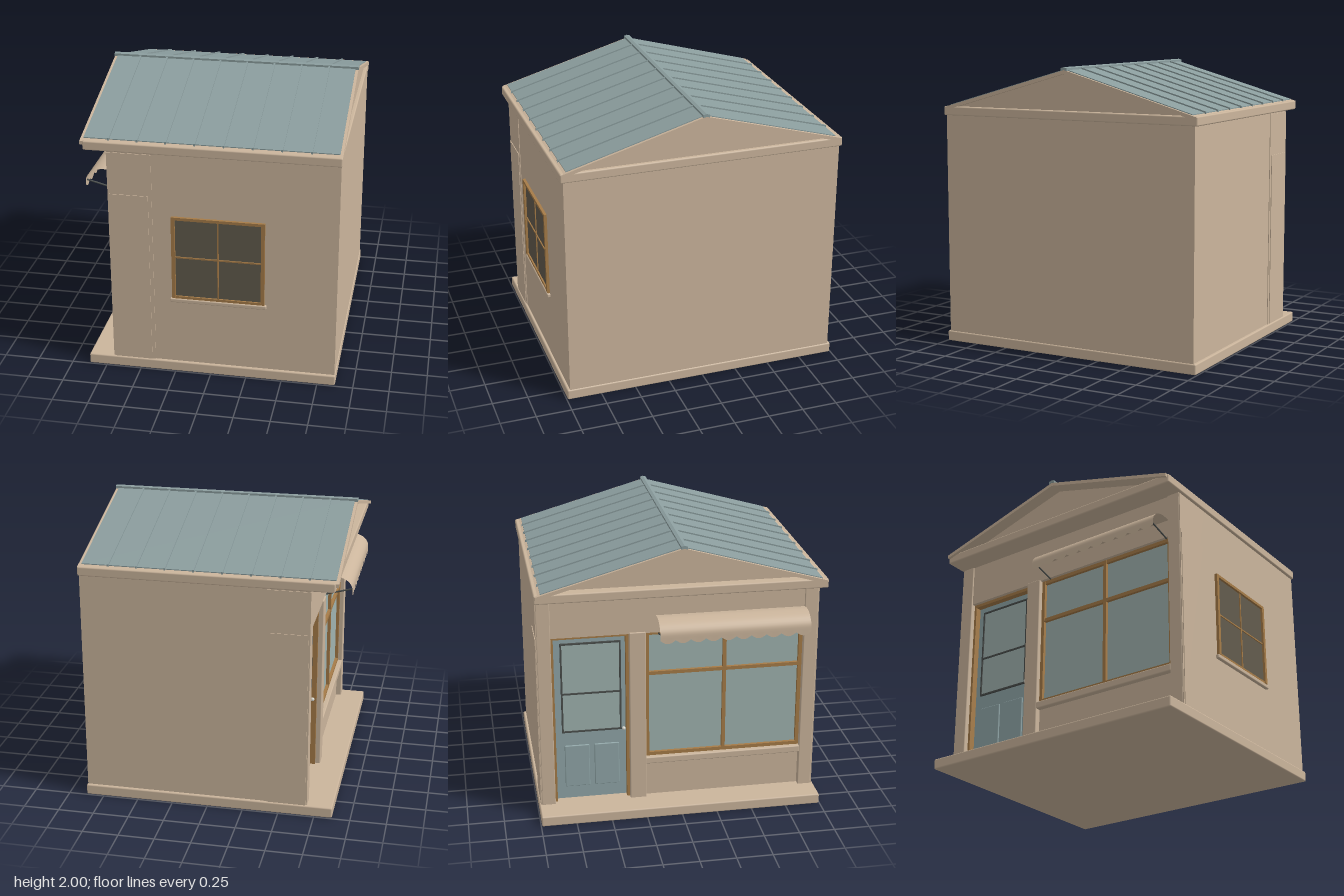
import * as THREE from 'three';
import { RoundedBoxGeometry } from 'three/addons/geometries/RoundedBoxGeometry.js';

const mat = (name, color, side = THREE.FrontSide) => {
  const m = new THREE.MeshStandardMaterial({ color, side });
  m.name = name;
  return m;
};

export function createModel() {
  const model = new THREE.Group();
  model.name = 'shop';
  const plaster = mat('plaster', 0xcbb59c);
  const canvas = mat('canvas', 0xcbb59c, THREE.DoubleSide);
  const roofMetal = mat('roofMetal', 0x8b9d9e);
  const wood = mat('wood', 0xa67c48);
  const darkGlass = mat('darkGlass', 0x625b4d);
  const shopGlass = mat('shopGlass', 0xa0b3b0);
  const doorPaint = mat('doorPaint', 0x91a7a9);
  const iron = mat('iron', 0x4b4f4d);
  const metal = mat('paleMetal', 0xd8d8d0);

  const add = (name, geo, material) => {
    const mesh = new THREE.Mesh(geo, material);
    mesh.name = name;
    model.add(mesh);
    return mesh;
  };
  // Box given by its limits; bevel > 0 softens the edges
  const box = (name, m, x0, x1, y0, y1, z0, z1, bevel = 0) => {
    const s = [x1 - x0, y1 - y0, z1 - z0];
    const geo = bevel ? new RoundedBoxGeometry(...s, 1, bevel) : new THREE.BoxGeometry(...s);
    return add(name, geo.translate((x0 + x1) / 2, (y0 + y1) / 2, (z0 + z1) / 2), m);
  };
  // Outline in the z-y plane pushed along x
  const prism = (name, m, pts, x0, x1) => {
    const shape = new THREE.Shape(pts.map(([z, y]) => new THREE.Vector2(-z, y)));
    const geo = new THREE.ExtrudeGeometry(shape, { depth: x1 - x0, bevelEnabled: false });
    return add(name, geo.rotateY(Math.PI / 2).translate(x0, 0, 0), m);
  };
  // Folded sheet following both roof slopes
  const fold = (name, m, w, lift, t, x0, x1) => {
    const top = 1.98 + lift, edge = top - 0.284 * w;
    return prism(name, m, [[-w, edge], [-w, edge - t], [0, top - t], [w, edge - t], [w, edge], [0, top]], x0, x1);
  };

  // Base and main walls
  box('base', plaster, -0.875, 0.875, 0, 0.075, -0.995, 0.995, 0.01);
  box('walls', plaster, -0.6, 0.868, 0.07, 1.65, -0.975, 0.975);
  box('lintel', plaster, -0.69, -0.59, 1.33, 1.65, -0.96, 0.96);

  // Side returns and panels, mirrored front and back
  for (const s of [1, -1]) {
    const zs = (a, b) => (s > 0 ? [a, b] : [-b, -a]);
    box('cornerPost', plaster, -0.7, -0.59, 0.07, 1.65, ...zs(0.88, 0.975), 0.006);
    box('sideReturn', plaster, -0.698, -0.395, 0.07, 1.63, ...zs(0.97, 0.98));
    box('sidePanel', plaster, -0.688, -0.42, 0.07, 1.33, ...zs(0.975, 0.985));
  }
  box('middlePost', plaster, -0.7, -0.59, 0.07, 1.34, -0.345, -0.23, 0.006);

  // Cornice, gables and roof
  box('cornice', plaster, -0.855, 0.875, 1.64, 1.705, -0.995, 0.995, 0.01);
  prism('gable', plaster, [[-0.93, 1.69], [0.93, 1.69], [0, 1.965]], -0.78, 0.85);
  fold('roofDeck', plaster, 0.985, 0, 0.025, -0.875, 0.875);
  fold('roofSheet', roofMetal, 0.95, 0.006, 0.01, -0.855, 0.855);
  for (let i = 0; i < 8; i++) {
    const x = -0.685 + i * 0.1937;
    fold('roofSeam', roofMetal, 0.96, 0.016, 0.018, x - 0.006, x + 0.006);
  }
  fold('ridgeCap', roofMetal, 0.022, 0.02, 0.02, -0.878, 0.878);

  // Side window
  box('windowGlass', darkGlass, -0.24, 0.355, 0.59, 1.18, 0.97, 0.979);
  for (const x of [-0.265, 0.35]) box('windowJamb', wood, x, x + 0.025, 0.585, 1.195, 0.97, 0.995);
  box('windowHead', wood, -0.265, 0.375, 1.175, 1.195, 0.97, 0.995);
  box('windowFoot', wood, -0.265, 0.375, 0.58, 0.598, 0.97, 0.99);
  box('windowUpright', wood, 0.05, 0.06, 0.59, 1.18, 0.97, 0.986);
  box('windowCrossbar', wood, -0.245, 0.355, 0.888, 0.898, 0.97, 0.986);
  box('windowSill', plaster, -0.28, 0.39, 0.55, 0.58, 0.96, 0.998, 0.008);

  // Shop window with a low wall below
  box('lowWall', plaster, -0.66, -0.59, 0.07, 0.36, -0.235, 0.89);
  box('shopSill', plaster, -0.7, -0.59, 0.335, 0.385, -0.235, 0.885, 0.008);
  box('shopWindowGlass', shopGlass, -0.645, -0.59, 0.38, 1.34, -0.235, 0.89);
  for (const z of [-0.23, 0.315, 0.855])
    box('shopWindowUpright', wood, -0.668, -0.64, 0.385, 1.33, z, z + 0.025);
  for (const y of [0.385, 1.005, 1.305])
    box('shopWindowRail', wood, -0.667, -0.64, y, y + 0.025, -0.23, 0.88);

  // Door in its recess
  box('doorLeaf', doorPaint, -0.622, -0.59, 0.075, 1.31, -0.86, -0.365);
  for (const z of [-0.885, -0.365]) box('doorJamb', wood, -0.665, -0.59, 0.075, 1.33, z, z + 0.023);
  box('doorHead', wood, -0.665, -0.59, 1.308, 1.33, -0.885, -0.342);
  box('doorPane', shopGlass, -0.627, -0.62, 0.6, 1.26, -0.81, -0.4);
  for (const y of [0.592, 0.88, 1.252])
    box('doorPaneRail', iron, -0.634, -0.62, y, y + 0.012, -0.815, -0.395);
  for (const z of [-0.815, -0.407])
    box('doorPaneStile', iron, -0.634, -0.62, 0.592, 1.264, z, z + 0.012);
  for (const z of [-0.8, -0.59])
    box('doorPanel', doorPaint, -0.634, -0.62, 0.17, 0.49, z, z + 0.175, 0.006);
  const knob = add('doorKnob', new THREE.SphereGeometry(0.014, 12, 8), metal);
  knob.position.set(-0.64, 0.6, -0.382);

  // Awning: curved cloth with a scalloped lower edge
  const curve = new THREE.CatmullRomCurve3([[-0.69, 1.455], [-0.76, 1.462], [-0.83, 1.44], [-0.87, 1.395], [-0.876, 1.34]]
    .map(([x, y]) => new THREE.Vector3(x, y, 0)));
  const z0 = -0.16, z1 = 0.88, scallops = 10;
  const cloth = new THREE.PlaneGeometry(1, 1, 80, 14);
  const pos = cloth.attributes.position;
  for (let i = 0; i < pos.count; i++) {
    const u = pos.getX(i) + 0.5, v = 0.5 - pos.getY(i);
    const p = curve.getPoint(v);
    const drop = v > 0.999 ? 0.025 * Math.abs(Math.sin(u * scallops * Math.PI)) : 0;
    pos.setXYZ(i, p.x, p.y - drop, z0 + (z1 - z0) * u);
  }
  cloth.computeVertexNormals();
  add('awning', cloth, canvas);

  // Awning arms
  for (const z of [z0 + 0.02, z1 - 0.02]) {
    const arm = new THREE.LineCurve3(new THREE.Vector3(-0.685, 1.32, z), new THREE.Vector3(-0.872, 1.37, z));
    add('awningArm', new THREE.TubeGeometry(arm, 1, 0.006, 6), iron);
  }
  return model;
}
